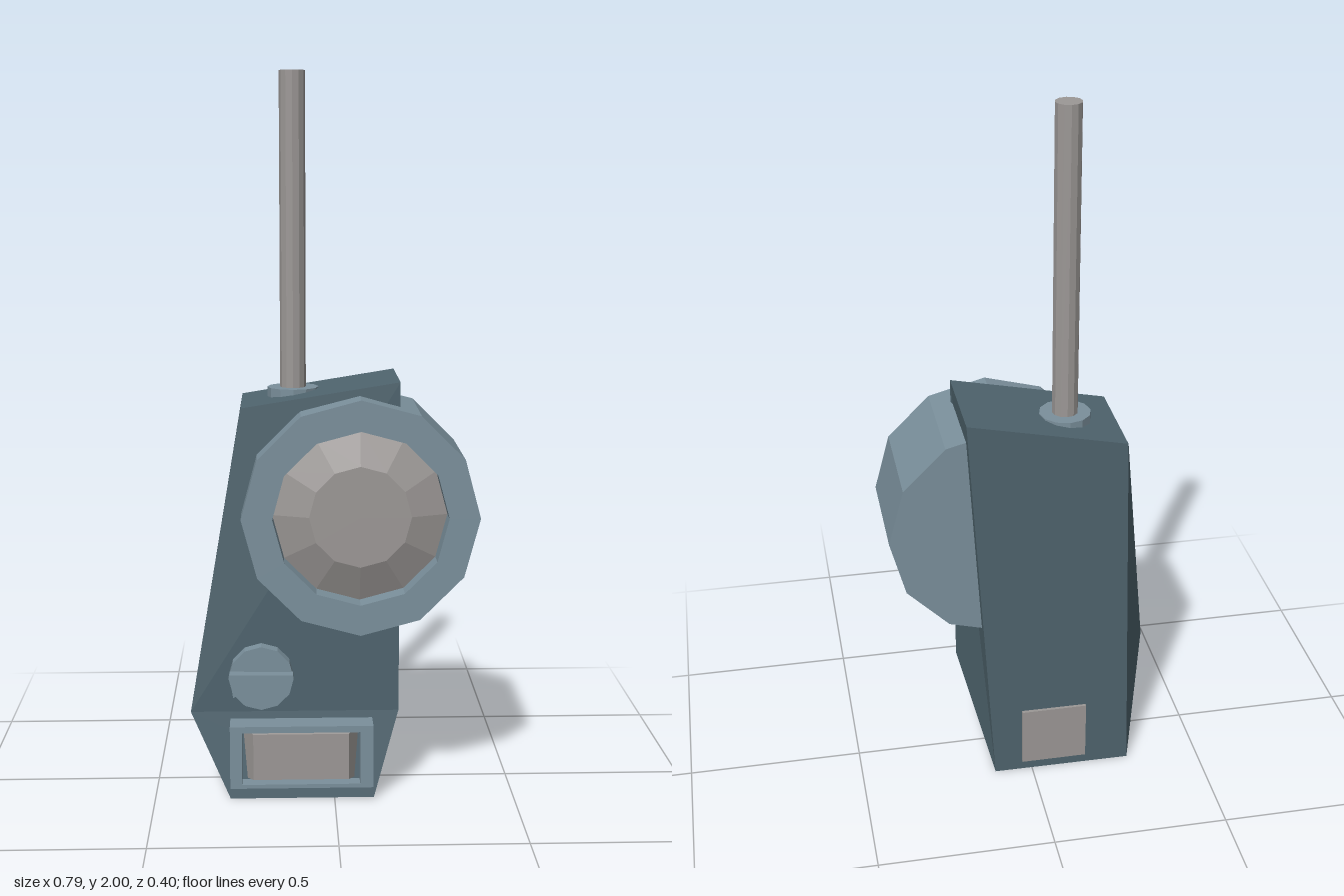
import * as THREE from 'three';

const paint = (color) => new THREE.MeshStandardMaterial({ color, flatShading: true });
const bodyMat = paint(0x4f646e);
const trimMat = paint(0x7b909c);
const greyMat = paint(0x9c9896);

export function createModel() {
  const model = new THREE.Group();
  const add = (name, geometry, material, x = 0, y = 0, z = 0) => {
    const mesh = new THREE.Mesh(geometry, material);
    mesh.name = name;
    mesh.position.set(x, y, z);
    model.add(mesh);
    return mesh;
  };

  // 12-sided turned part facing +z, from [radius, z] points
  const turned = (points) =>
    new THREE.LatheGeometry(points.map(([r, z]) => new THREE.Vector2(r, z)), 12).rotateX(Math.PI / 2);

  // Extruded outline, starting at z = 0
  const extrude = (shape, depth) => new THREE.ExtrudeGeometry(shape, { depth, bevelEnabled: false });
  const polygon = (pts) => new THREE.Shape(pts.map(([x, y]) => new THREE.Vector2(x, y)));

  // Tapered casing: six corners at the front, four at the back
  const f = [
    [-0.255, 1.09, 0.09], [0.18, 1.165, 0.125], [0.18, 0.24, 0.125],
    [0.11, 0, 0.165], [-0.29, 0, 0.165], [-0.4, 0.24, 0.125],
  ];
  const b = [[-0.255, 1.09, -0.2], [0.18, 1.165, -0.165], [0.11, 0, -0.162], [-0.29, 0, -0.165]];
  const faces = [
    [f[5], f[2], f[1], f[0]], [f[5], f[4], f[3], f[2]],   // front
    [b[1], b[2], b[3], b[0]],                             // back
    [f[0], f[1], b[1], b[0]], [b[3], b[2], f[3], f[4]],   // top, bottom
    [f[1], f[2], b[2], b[1]], [f[2], f[3], b[2]],         // left side
    [b[0], f[5], f[0]], [b[0], b[3], f[5]], [b[3], f[4], f[5]], // right side
  ];
  const positions = [];
  for (const face of faces) {
    for (let i = 1; i < face.length - 1; i++) positions.push(...face[0], ...face[i], ...face[i + 1]);
  }
  const casing = new THREE.BufferGeometry();
  casing.setAttribute('position', new THREE.Float32BufferAttribute(positions, 3));
  casing.computeVertexNormals();
  add('casing', casing, bodyMat);

  // Round housing with a recessed, faceted speaker dome
  add('speakerHousing', turned([[0, -0.128], [0.325, -0.128], [0.325, 0.2], [0.24, 0.2], [0.24, 0.12]]),
    trimMat, 0.07, 0.802);
  add('speakerDome', turned([[0.24, 0.135], [0.14, 0.175], [0, 0.175]]), greyMat, 0.07, 0.802);

  // Control knob with a wedge pointer
  add('knob', turned([[0, 0.08], [0.09, 0.08], [0.09, 0.165], [0, 0.165]]), trimMat, -0.203, 0.347);
  add('knobPointer', extrude(polygon([[-0.29, 0.368], [-0.28, 0.303], [-0.115, 0.366]]), 0.035),
    trimMat, 0, 0, 0.162);

  // Display frame with a bevelled panel inside
  const frame = polygon([[-0.29, 0.042], [0.106, 0.042], [0.106, 0.22], [-0.29, 0.22]]);
  frame.holes.push(polygon([[-0.257, 0.053], [-0.257, 0.202], [0.07, 0.202], [0.07, 0.053]]));
  add('displayFrame', extrude(frame, 0.09), trimMat, 0, 0, 0.11);
  const panel = new THREE.BoxGeometry(0.327, 0.149, 0.06);
  const p = panel.attributes.position;
  for (let i = 0; i < p.count; i++) {
    if (p.getZ(i) > 0) p.setXY(i, p.getX(i) * 0.81, p.getY(i) * 0.88);
  }
  panel.computeVertexNormals();
  add('displayPanel', panel, greyMat, -0.0935, 0.1275, 0.157);

  // Plate on the back
  add('backPlate', new THREE.BoxGeometry(0.19, 0.18, 0.03), greyMat, -0.065, 0.122, -0.158);

  // Antenna and its collar
  add('antennaCollar', new THREE.CylinderGeometry(0.072, 0.072, 0.08, 12), trimMat, -0.11, 1.09, -0.056);
  add('antenna', new THREE.CylinderGeometry(0.036, 0.036, 0.9, 12), greyMat, -0.11, 1.55, -0.056);

  return model;
}
